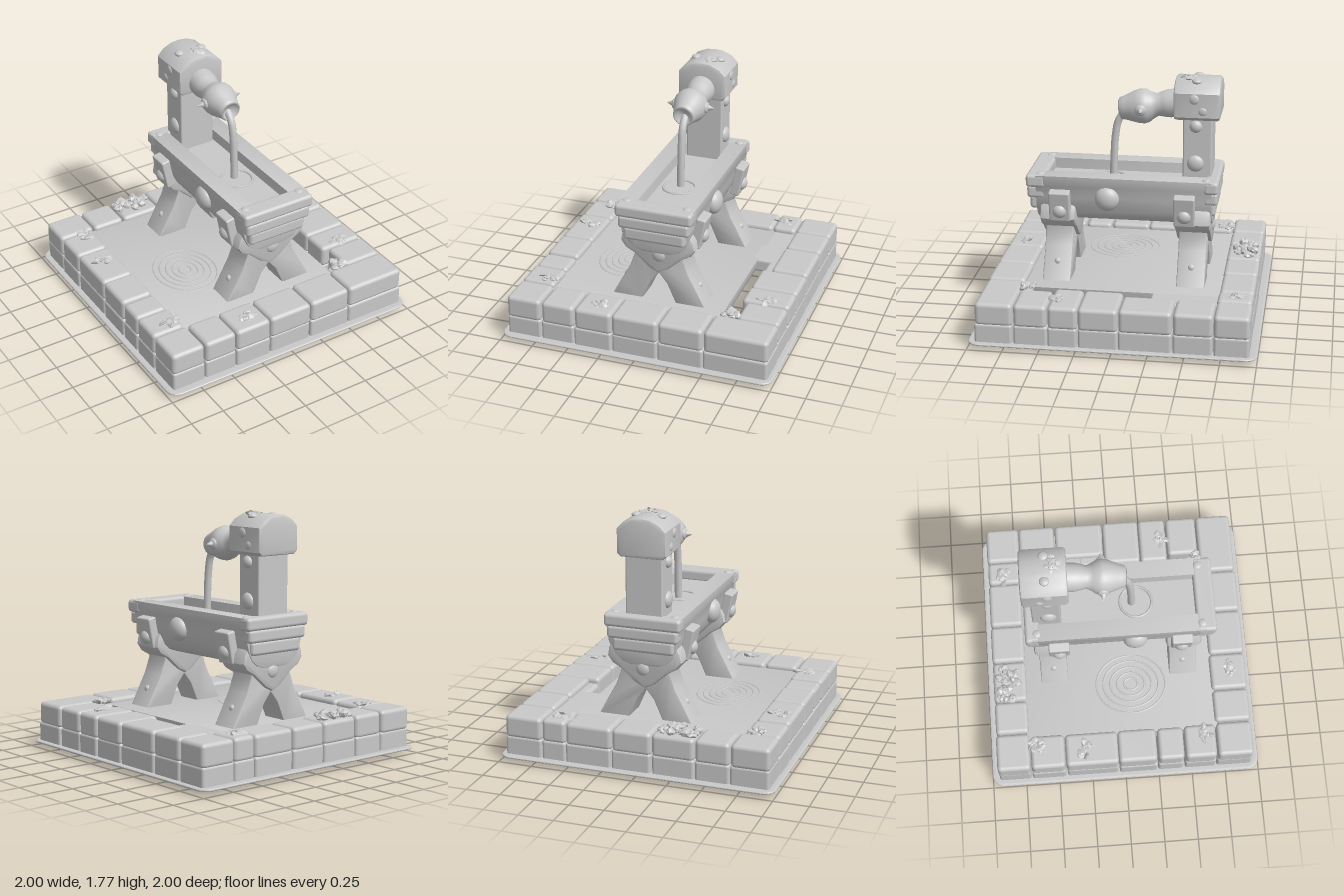
import * as THREE from 'three';
import { RoundedBoxGeometry } from 'three/addons/geometries/RoundedBoxGeometry.js';
import { toCreasedNormals } from 'three/addons/utils/BufferGeometryUtils.js';

const stone = new THREE.MeshStandardMaterial({ color: 0xc8c8c8 });
stone.name = 'stone grey';
const CX = 0.05; // the trough and its supports sit slightly off centre

let seed = 7;
const rand = () => ((seed = (seed * 16807) % 2147483647) / 2147483647);

function add(parent, name, geometry, x = 0, y = 0, z = 0) {
  const mesh = new THREE.Mesh(geometry, stone);
  mesh.name = name;
  mesh.position.set(x, y, z);
  parent.add(mesh);
  return mesh;
}

// Rounded block given by its bounds
function block(parent, name, x0, x1, y0, y1, z0, z1, r = 0.025) {
  const g = new RoundedBoxGeometry(x1 - x0, y1 - y0, z1 - z0, 3, r);
  return add(parent, name, g, (x0 + x1) / 2, (y0 + y1) / 2, (z0 + z1) / 2);
}

const polygon = (pts) => new THREE.Shape(pts.map((p) => new THREE.Vector2(...p)));

// Polygon in x/y extruded from z0 to z1 with a small bevel
function prism(parent, name, pts, z0, z1, bevel = 0.012, x = CX) {
  const g = new THREE.ExtrudeGeometry(polygon(pts), {
    depth: z1 - z0 - 2 * bevel, bevelThickness: bevel, bevelSize: bevel, bevelOffset: -bevel, bevelSegments: 2,
  });
  return add(parent, name, toCreasedNormals(g, 0.7), x, 0, z0 + bevel);
}

// Flattened dome used for bolts and bosses
function dome(parent, name, x, y, z, r, sx, sz = r, sy = r) {
  const m = add(parent, name, new THREE.SphereGeometry(1, 20, 14), x, y, z);
  m.scale.set(sx, sy, sz);
  return m;
}

function mirrored(pts) {
  return [...pts, ...pts.slice().reverse().filter((p) => p[0] !== 0).map(([x, y]) => [-x, y])];
}

function roundedRect(h, r) {
  const s = new THREE.Shape();
  s.absarc(h - r, h - r, r, 0, Math.PI / 2);
  s.absarc(-h + r, h - r, r, Math.PI / 2, Math.PI);
  s.absarc(-h + r, -h + r, r, Math.PI, Math.PI * 1.5);
  s.absarc(h - r, -h + r, r, Math.PI * 1.5, Math.PI * 2);
  return s;
}

// Rough clump of small leaves
function clump(parent, x, y, z, sx, sz, h, n) {
  const group = new THREE.Group();
  group.name = 'mossClump';
  for (let i = 0; i < n; i++) {
    const a = rand() * Math.PI * 2, d = Math.sqrt(rand());
    const m = add(group, 'mossLeaf', new THREE.IcosahedronGeometry(1, 0),
      x + Math.cos(a) * d * sx, y + rand() * h * 0.4, z + Math.sin(a) * d * sz);
    m.scale.set(0.02 + rand() * 0.02, h * (0.25 + rand() * 0.35), 0.02 + rand() * 0.02);
    m.rotation.set(rand() - 0.5, rand() * 3, rand() - 0.5);
  }
  parent.add(group);
}

function buildBase(root) {
  const base = new THREE.Group();
  base.name = 'base';
  root.add(base);

  // Ring of kerb stones in two courses: x0, x1, z0, z1
  const stones = [];
  const row = (xs, z0, z1) => xs.slice(1).forEach((x, i) => stones.push([xs[i], x, z0, z1]));
  const column = (zs, x0, x1) => zs.slice(1).forEach((z, i) => stones.push([x0, x1, zs[i], z]));
  row([-0.96, -0.68, -0.43, -0.12, 0.17, 0.51, 0.69, 0.965], -0.95, -0.7);
  row([-0.96, -0.7, -0.45, -0.17, 0.17, 0.5, 0.965], 0.68, 0.95);
  column([-0.7, -0.44, -0.05, 0.24, 0.44, 0.68], -0.96, -0.71);
  column([-0.7, -0.42, -0.05], 0.69, 0.965);
  column([-0.05, 0.23, 0.44], 0.62, 0.965);
  column([0.44, 0.68], 0.66, 0.965);
  for (const [x0, x1, z0, z1] of stones) {
    const j = () => rand() * 0.006;
    block(base, 'upperKerbStone', x0 + j(), x1 - j(), 0.17, 0.34 - j(), z0 + j(), z1 - j(), 0.03);
    block(base, 'lowerKerbStone', x0 + j(), x1 - j(), 0.025, 0.185, z0 + j(), z1 - j(), 0.02);
  }
  // Small feet below the kerb
  for (const [x, z] of [[-0.78, 0.8], [-0.2, 0.85], [0.72, 0.82], [0.85, 0.2], [0.8, -0.8], [-0.3, -0.84], [-0.84, -0.1]])
    dome(base, 'foot', x, 0.025, z, 0.1, 0.1, 0.07, 0.025);

  // Thin skirt around the foot of the kerb
  const ring = roundedRect(0.985, 0.07);
  ring.holes.push(new THREE.Path(roundedRect(0.9, 0.03).getPoints(6).reverse()));
  const skirt = new THREE.ExtrudeGeometry(ring, { depth: 0.006, bevelThickness: 0.006, bevelSize: 0.015, bevelSegments: 2, curveSegments: 8 });
  add(base, 'skirt', skirt.rotateX(-Math.PI / 2), 0, 0.038, 0);

  // Thick floor whose open edge curls under, leaving a gap beside the kerb
  prism(base, 'floor', [[-0.73, 0.06], [0.36, 0.06], [0.44, 0.1], [0.5, 0.17], [0.53, 0.25], [0.535, 0.3], [-0.73, 0.3]], -0.72, 0.7, 0.006, 0);
  block(base, 'floorCorner', 0.48, 0.72, 0.2, 0.3, -0.72, -0.23, 0.02);
  block(base, 'brokenFloorEdge', 0.62, 0.72, 0.14, 0.3, -0.25, -0.04, 0.03);
  block(base, 'brokenFloorEdge', 0.52, 0.68, 0.14, 0.31, 0.61, 0.72, 0.03);

  // Puddle ripples
  for (let i = 1; i <= 5; i++) {
    const r = add(base, 'ripple', new THREE.TorusGeometry(0.045 * i, 0.008, 6, 40), -0.35, 0.297, 0.08);
    r.rotation.x = Math.PI / 2;
    r.scale.y = 1.15;
  }

  clump(base, -0.29, 0.34, -0.84, 0.15, 0.08, 0.055, 34);
  for (const [x, z] of [[-0.78, -0.65], [-0.84, -0.3], [-0.78, 0.6], [-0.28, 0.84], [0.79, 0.4], [0.6, 0.64], [0.58, -0.83]])
    clump(base, x, 0.33, z, 0.06, 0.045, 0.03, 11);
}

function buildTrough(root) {
  const trough = new THREE.Group();
  trough.name = 'trough';
  root.add(trough);

  // Channel with a rounded underside and hollow top
  const half = [[0.1, 0.7], [0.16, 0.72], [0.205, 0.76], [0.235, 0.82], [0.255, 0.9], [0.266, 0.98], [0.276, 1.0], [0.278, 1.06], [0.15, 1.06], [0.14, 0.9]];
  prism(trough, 'channel', mirrored(half), -0.62, 0.63, 0.006);
  block(trough, 'water', CX - 0.16, CX + 0.16, 0.9, 0.985, -0.58, 0.58, 0.005);
  const ring = add(trough, 'waterRing', new THREE.TorusGeometry(0.115, 0.01, 6, 32), CX, 0.985, 0.14);
  ring.rotation.x = Math.PI / 2;

  // Stepped boards at both ends
  for (const [inner, outer, s] of [[0.56, 0.7, 1], [0.56, 0.665, -1]]) {
    const board = (hw, y0, y1, inset) => {
      const a = inner * s, b = (outer - inset) * s;
      block(trough, 'endBoard', CX - hw, CX + hw, y0, y1, Math.min(a, b), Math.max(a, b), 0.025);
    };
    board(0.28, 0.97, 1.063, 0);
    board(0.26, 0.885, 0.98, 0.005);
    board(0.225, 0.795, 0.895, 0.02);
  }

  for (const s of [-1, 1]) {
    dome(trough, 'sideBoss', CX + s * 0.255, 0.905, 0.12, 0.088, 0.06);
    for (const z of [0.6, -0.58]) dome(trough, 'rimStud', CX + s * 0.22, 1.06, z, 0.03, 0.03, 0.03, 0.012);
  }
}

// Crossed legs with a saddle, side straps and bolts
function buildTrestle(root, z, strapZ, s) {
  const trestle = new THREE.Group();
  trestle.name = 'trestle';
  root.add(trestle);
  const legs = [[0, 0.515], [0.06, 0.44], [0.13, 0.28], [0.355, 0.28], [0.28, 0.42], [0.22, 0.53], [0.18, 0.64], [0.2, 0.74]];
  prism(trestle, 'crossedLegs', mirrored(legs), z - 0.1, z + 0.1);
  const saddle = [[0, 0.525], [0.07, 0.56], [0.17, 0.65], [0.24, 0.69], [0.275, 0.74], [0.265, 0.8], [0.24, 0.84]];
  prism(trestle, 'saddle', mirrored(saddle), z - 0.128, z + 0.128, 0.025);
  dome(trestle, 'saddleBoss', CX + 0.01, 0.67, z + s * 0.12, 0.05, 0.05, 0.025);
  for (const e of [-1, 1]) {
    const strap = block(trestle, 'strap', CX + e * 0.272 - 0.035, CX + e * 0.272 + 0.035, 0.73, 0.96, strapZ - 0.075, strapZ + 0.075, 0.012);
    strap.rotation.z = -e * 0.2;
    dome(trestle, 'strapBolt', CX + e * 0.285, 0.81, strapZ, 0.053, 0.045);
    dome(trestle, 'legBolt', CX + e * 0.268, 0.42, z, 0.026, 0.022);
  }
}

function buildSpout(root) {
  const tower = new THREE.Group();
  tower.name = 'spoutTower';
  root.add(tower);

  block(tower, 'post', CX - 0.135, CX + 0.135, 0.95, 1.52, -0.605, -0.4, 0.012);
  const head = [[0.15, 1.475], [0.178, 1.5], [0.178, 1.67], [0.13, 1.72], [0.06, 1.75], [0, 1.755]];
  prism(tower, 'head', mirrored(head), -0.66, -0.335, 0.02);
  for (const s of [-1, 1]) {
    dome(tower, 'postBolt', CX + s * 0.13, 1.155, -0.49, 0.06, 0.035);
    dome(tower, 'postBolt', CX + s * 0.13, 1.425, -0.49, 0.045, 0.035);
    dome(tower, 'headStud', CX + s * 0.175, 1.63, -0.48, 0.035, 0.015);
    dome(tower, 'headStud', CX + s * 0.175, 1.545, -0.54, 0.03, 0.012);
    dome(tower, 'roofStud', CX + s * 0.09, 1.738, -0.49, 0.035, 0.035, 0.035, 0.02);
  }
  clump(tower, CX + 0.03, 1.745, -0.42, 0.05, 0.05, 0.025, 12);

  // Turned spout with a hollow mouth, pointing forward and slightly down
  const outline = [[0.1, 0], [0.1, 0.08], [0.092, 0.12], [0.08, 0.165], [0.095, 0.2], [0.118, 0.235],
    [0.125, 0.27], [0.118, 0.31], [0.1, 0.36], [0.085, 0.4], [0.078, 0.43], [0.062, 0.44], [0.05, 0.41], [0, 0.4]];
  const spout = new THREE.Group();
  spout.name = 'spout';
  spout.position.set(CX, 1.56, -0.37);
  spout.rotation.x = Math.PI / 2 + 0.14;
  tower.add(spout);
  add(spout, 'spoutBody', new THREE.LatheGeometry(outline.map((p) => new THREE.Vector2(...p)), 32));
  for (const s of [-1, 1]) {
    dome(spout, 'spikeCollar', s * 0.118, 0.275, 0, 0.04, 0.02);
    const spike = add(spout, 'spike', new THREE.ConeGeometry(0.035, 0.07, 14), s * 0.143, 0.275, 0);
    spike.rotation.z = -s * Math.PI / 2;
  }

  // Falling stream
  const path = new THREE.CatmullRomCurve3([[1.5, -0.02], [1.47, 0.03], [1.41, 0.073], [1.3, 0.095], [1.15, 0.105], [0.97, 0.11]]
    .map(([y, z]) => new THREE.Vector3(CX, y, z)));
  add(tower, 'stream', new THREE.TubeGeometry(path, 32, 0.027, 14));
}

export function createModel() {
  const root = new THREE.Group();
  root.name = 'waterTrough';
  buildBase(root);
  buildTrough(root);
  buildTrestle(root, 0.475, 0.455, 1);
  buildTrestle(root, -0.485, -0.43, -1);
  buildSpout(root);
  return root;
}
